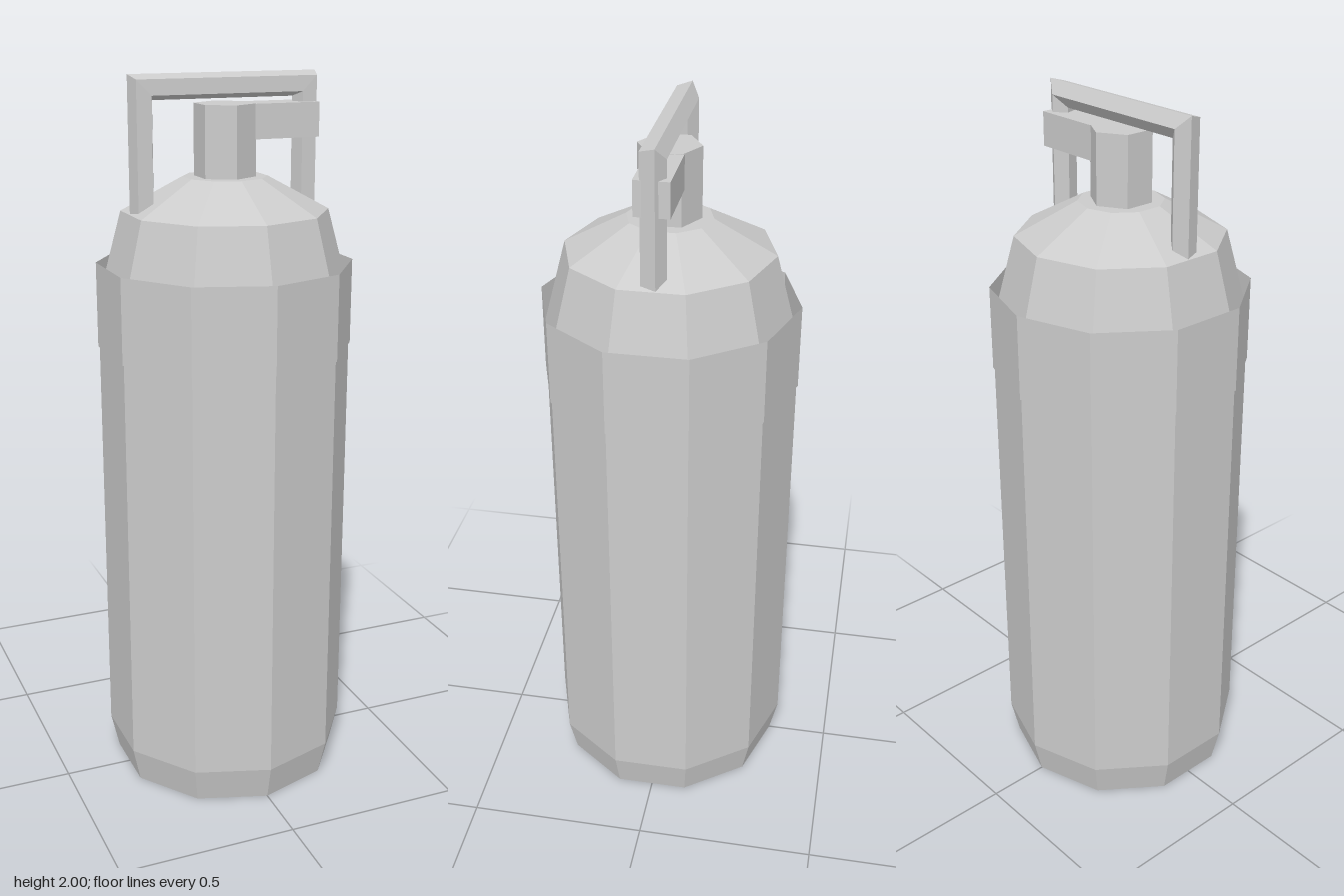
import * as THREE from 'three';

const grey = new THREE.MeshStandardMaterial({ color: 0xcccccc, flatShading: true });
const greyThin = new THREE.MeshStandardMaterial({ color: 0xcccccc, flatShading: true, side: THREE.DoubleSide });

function addPart(group, name, geometry, material = grey) {
  const mesh = new THREE.Mesh(geometry, material);
  mesh.name = name;
  group.add(mesh);
  return mesh;
}

// U-shaped handle: a pentagonal section swept along two posts and a top bar, with mitred corners
function handleGeometry() {
  const sides = 5, radius = 0.035, halfWidth = 0.267, top = 2, bottom = 1.635;
  const positions = [], index = [];
  const path = [[-1, false], [-1, true], [1, true], [1, false]];
  for (const [side, upper] of path) {
    for (let i = 0; i < sides; i++) {
      const a = THREE.MathUtils.degToRad(200 + i * 72);
      const inset = 0.034 + radius * Math.cos(a);
      positions.push(side * (halfWidth - inset), upper ? top - inset : bottom, radius * Math.sin(a));
    }
  }
  for (let r = 0; r < path.length - 1; r++) {
    for (let i = 0; i < sides; i++) {
      const a = r * sides + i, b = r * sides + (i + 1) % sides;
      index.push(a, b, a + sides, b, b + sides, a + sides);
    }
  }
  // End caps
  const last = (path.length - 1) * sides;
  for (let i = 1; i < sides - 1; i++) {
    index.push(0, i + 1, i, last, last + i, last + i + 1);
  }
  const geometry = new THREE.BufferGeometry();
  geometry.setAttribute('position', new THREE.Float32BufferAttribute(positions, 3));
  geometry.setIndex(index);
  geometry.computeVertexNormals();
  return geometry;
}

export function createModel() {
  const model = new THREE.Group();
  model.name = 'gasCylinder';

  // Ten-sided tank with chamfered foot, shoulder and dome
  const profile = [
    [0, 0], [0.325, 0], [0.348, 0.1], [0.348, 1.395], [0.282, 1.64], [0.115, 1.73], [0, 1.73],
  ].map(([r, y]) => new THREE.Vector2(r, y));
  addPart(model, 'tank', new THREE.LatheGeometry(profile, 10));

  // Thin open sleeve standing proud of the shoulder
  const sleeve = new THREE.CylinderGeometry(0.352, 0.352, 0.235, 10, 1, true);
  addPart(model, 'sleeve', sleeve, greyThin).position.y = 1.3825;

  // Hexagonal valve and its side outlet
  addPart(model, 'valve', new THREE.CylinderGeometry(0.084, 0.084, 0.2, 6)).position.y = 1.82;
  addPart(model, 'valveOutlet', new THREE.BoxGeometry(0.21, 0.092, 0.092)).position.set(0.151, 1.873, -0.002);

  // Carrying handle
  addPart(model, 'handle', handleGeometry(), greyThin);

  return model;
}
